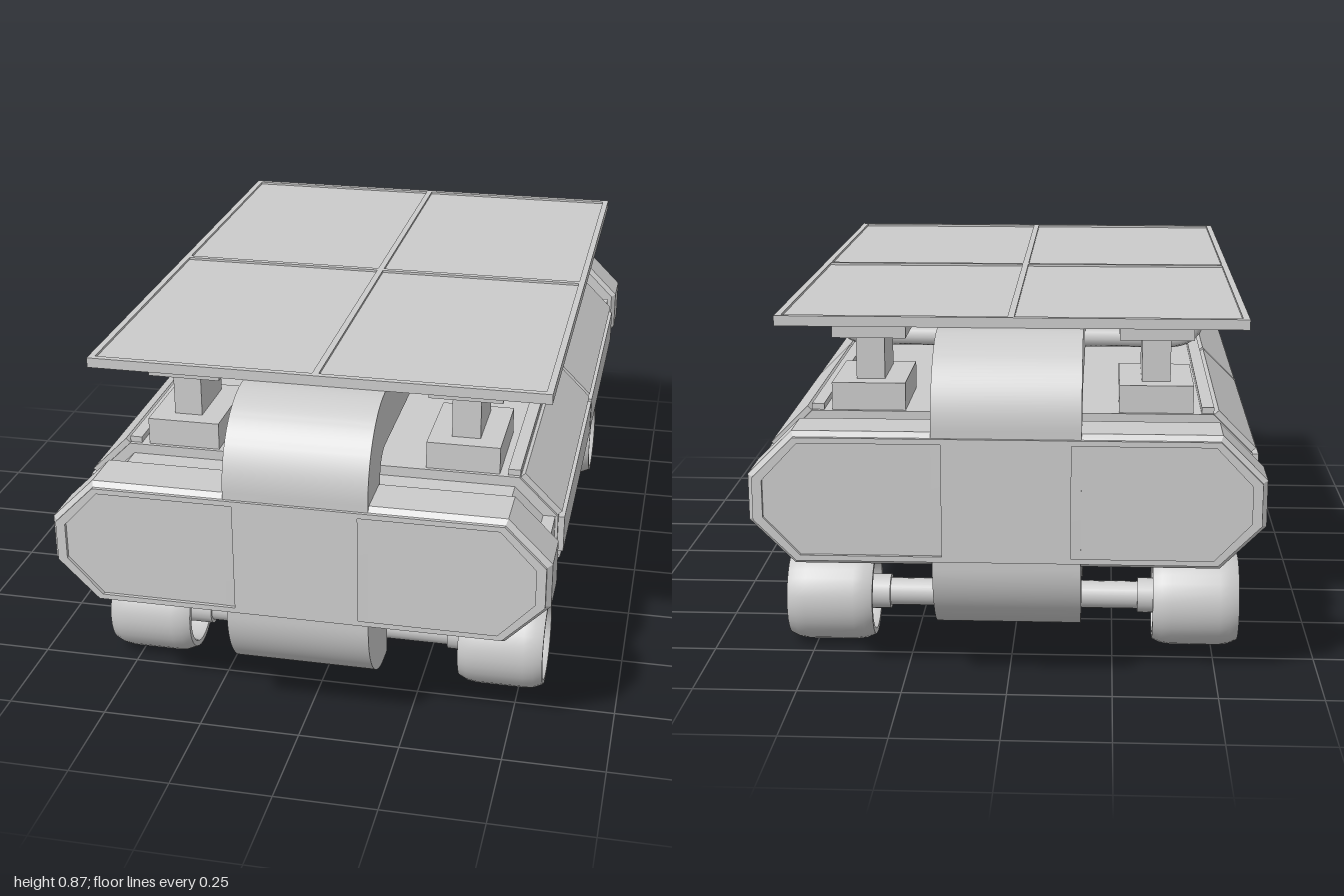
import * as THREE from 'three';
import { toCreasedNormals } from 'three/addons/utils/BufferGeometryUtils.js';

const grey = new THREE.MeshStandardMaterial({ color: 0xcccccc });
const CY = 0.475; // mid height of the hull

function add(parent, name, geo, x = 0, y = 0, z = 0) {
  const m = new THREE.Mesh(geo, grey);
  m.name = name;
  m.position.set(x, y, z);
  parent.add(m);
  return m;
}
const box = (w, h, d) => new THREE.BoxGeometry(w, h, d);
const poly = (pts) => new THREE.Shape(pts.map(([x, y]) => new THREE.Vector2(x, y)));

// Right-hand half of the chamfered hull outline, top to bottom
function sidePoints(inset) {
  const w = 0.6 - inset, h = 0.16 - inset, c = 0.105 - inset * 0.586;
  return [[w - c, CY + h], [w, CY + h - c], [w, CY - h + c], [w - c, CY - h]];
}
function outline(inset) {
  const p = sidePoints(inset);
  return poly([...p, ...p.map(([x, y]) => [-x, y]).reverse()]);
}
function prism(shape, depth) {
  return new THREE.ExtrudeGeometry(shape, { depth, bevelEnabled: false }).translate(0, 0, -depth / 2);
}

// Hull core with raised side panels, split at the middle
function buildHull() {
  const g = new THREE.Group();
  g.name = 'hull';
  add(g, 'hullCore', prism(outline(0.015), 1.46));
  add(g, 'hullNeck', prism(outline(0.04), 1.74));
  const p = sidePoints(0.0075);
  for (const s of [1, -1]) for (const e of [1, -1]) {
    for (let i = 0; i < 3; i++) {
      const [ax, ay] = p[i], [bx, by] = p[i + 1];
      const len = Math.hypot(bx - ax, by - ay) - 0.012;
      const panel = add(g, 'sidePanel', box(len, 0.015, 0.713), s * (ax + bx) / 2, (ay + by) / 2, e * 0.365);
      panel.rotation.z = s * Math.atan2(by - ay, bx - ax);
    }
    add(g, 'topEdgeStrip', box(0.03, 0.015, 1.44), s * 0.475, CY + 0.1525, 0);
    add(g, 'sideClip', box(0.03, 0.1, 0.1), s * 0.563, CY, e * 0.775);
  }
  return g;
}

// End bumper, facing +z, with two recessed panels
function buildBumper() {
  const g = new THREE.Group();
  const b = 0.012;
  const body = new THREE.ExtrudeGeometry(outline(b), {
    depth: 0.115, bevelThickness: b, bevelSize: b, bevelSegments: 1,
  });
  add(g, 'bumperBody', body, 0, 0, 0.862);
  const face = outline(b);
  const q = sidePoints(0.025);
  q[1][0] = q[2][0] = 0.565;
  q[0][0] = q[3][0] = 0.48;
  for (const s of [1, -1]) {
    const pts = [[0.15, q[0][1]], ...q, [0.15, q[3][1]]].map(([x, y]) => new THREE.Vector2(s * x, y));
    face.holes.push(new THREE.Path(pts));
  }
  add(g, 'bumperFrame', prism(face, 0.012), 0, 0, 0.992);
  return g;
}

// Rounded central band wrapping the hull lengthwise, notched for the axles
function buildBand() {
  const P = Math.PI, s = new THREE.Shape();
  s.moveTo(0.79, 0.84);
  s.lineTo(-0.79, 0.84);
  s.absarc(-0.79, 0.64, 0.2, P / 2, P);
  s.lineTo(-0.99, 0.31);
  s.absarc(-0.8, 0.31, 0.19, P, 1.5 * P);
  const notch = [[0.765, 0.12], [0.765, 0.22], [0.53, 0.22], [0.53, 0.15], [0.49, 0.115]];
  for (const [z, y] of notch) s.lineTo(-z, y);
  for (const [z, y] of [...notch].reverse()) s.lineTo(z, y);
  s.absarc(0.8, 0.31, 0.19, -P / 2, 0);
  s.lineTo(0.99, 0.64);
  s.absarc(0.79, 0.64, 0.2, 0, P / 2);
  const h = new THREE.Path();
  h.moveTo(0.85, 0.5);
  h.lineTo(0.85, 0.645);
  h.absarc(0.79, 0.645, 0.06, 0, P / 2);
  h.absarc(-0.79, 0.645, 0.06, P / 2, P);
  h.lineTo(-0.85, 0.5);
  s.holes.push(h);
  const geo = new THREE.ExtrudeGeometry(s, { depth: 0.346, bevelEnabled: false, curveSegments: 16 });
  geo.translate(0, 0, -0.173).rotateY(-P / 2);
  return toCreasedNormals(geo, 0.5);
}

// Roof plate with a thin raised frame and cross bars
function buildRoof() {
  const g = new THREE.Group();
  g.name = 'roof';
  add(g, 'roofPlate', box(1.13, 0.019, 1.57), 0, 0.8495, 0);
  for (const k of [-1, 0, 1]) {
    add(g, 'roofBarLong', box(0.016, 0.007, 1.57), k * 0.557, 0.8615, 0);
    add(g, 'roofBarCross', box(1.13, 0.007, 0.016), 0, 0.8615, k * 0.777);
  }
  return g;
}

// Bent pipe from the roof plate to the band
function buildPipe(s) {
  const v = (x, y) => new THREE.Vector3(s * x, y, 0);
  const path = new THREE.CurvePath();
  path.add(new THREE.LineCurve3(v(0.46, 0.845), v(0.46, 0.81)));
  path.add(new THREE.QuadraticBezierCurve3(v(0.46, 0.81), v(0.46, 0.738), v(0.39, 0.738)));
  path.add(new THREE.LineCurve3(v(0.39, 0.738), v(0.15, 0.738)));
  return new THREE.TubeGeometry(path, 28, 0.024, 8);
}

// Hollow wheel with spokes, axle along x, outer side at +x
function buildWheel() {
  const g = new THREE.Group();
  g.name = 'wheel';
  const profile = [[0.095, -0.107], [0.109, -0.107], [0.119, -0.085], [0.1225, -0.06], [0.1225, 0.06], [0.119, 0.085],
    [0.109, 0.107], [0.098, 0.107], [0.09, 0.09], [0.09, -0.09], [0.095, -0.107]];
  const tyre = new THREE.LatheGeometry(profile.map(([r, a]) => new THREE.Vector2(r, a)), 32);
  add(g, 'tyre', toCreasedNormals(tyre.rotateZ(-Math.PI / 2), 0.5));
  add(g, 'hub', new THREE.CylinderGeometry(0.045, 0.045, 0.03, 20).rotateZ(Math.PI / 2), 0.07);
  for (let i = 0; i < 10; i++) {
    const spoke = add(g, 'spoke', box(0.022, 0.06, 0.018).translate(0, 0.065, 0), 0.07);
    spoke.rotation.x = i * Math.PI / 5;
  }
  return g;
}

// Axle with central housing, collars and a wheel at each end
function buildAxle() {
  const g = new THREE.Group();
  const rod = (name, r, len, x = 0) =>
    add(g, name, new THREE.CylinderGeometry(r, r, len, 20).rotateZ(Math.PI / 2), x);
  rod('axleRod', 0.035, 1.04);
  rod('axleHousing', 0.044, 0.3);
  for (const s of [1, -1]) {
    rod('axleCollar', 0.044, 0.06, s * 0.343);
    const w = buildWheel();
    w.position.x = s * 0.457;
    if (s < 0) w.rotation.y = Math.PI;
    g.add(w);
  }
  return g;
}

export function createModel() {
  const model = new THREE.Group();
  model.name = 'rover';
  model.add(buildHull(), buildRoof());
  add(model, 'centralBand', buildBand());
  add(model, 'keel', prism(poly([[-0.17, 0.12], [0, 0.067], [0.17, 0.12]]), 0.98));

  for (const e of [1, -1]) {
    const bumper = buildBumper();
    bumper.name = e > 0 ? 'frontBumper' : 'rearBumper';
    if (e < 0) bumper.rotation.y = Math.PI;
    const axle = buildAxle();
    axle.name = e > 0 ? 'frontAxle' : 'rearAxle';
    axle.position.set(0, 0.1225, e * 0.642);
    model.add(bumper, axle);

    // Roof struts and pipes
    for (const s of [1, -1]) {
      add(model, 'strutFoot', box(0.18, 0.07, 0.245), s * 0.35, 0.653, e * 0.598);
      add(model, 'strutPost', box(0.07, 0.12, 0.17), s * 0.35, 0.742, e * 0.59);
      add(model, 'strutHead', box(0.18, 0.046, 0.225), s * 0.35, 0.818, e * 0.588);
      add(model, 'pipe', buildPipe(s), 0, 0, e * 0.395);
    }
  }
  return model;
}
